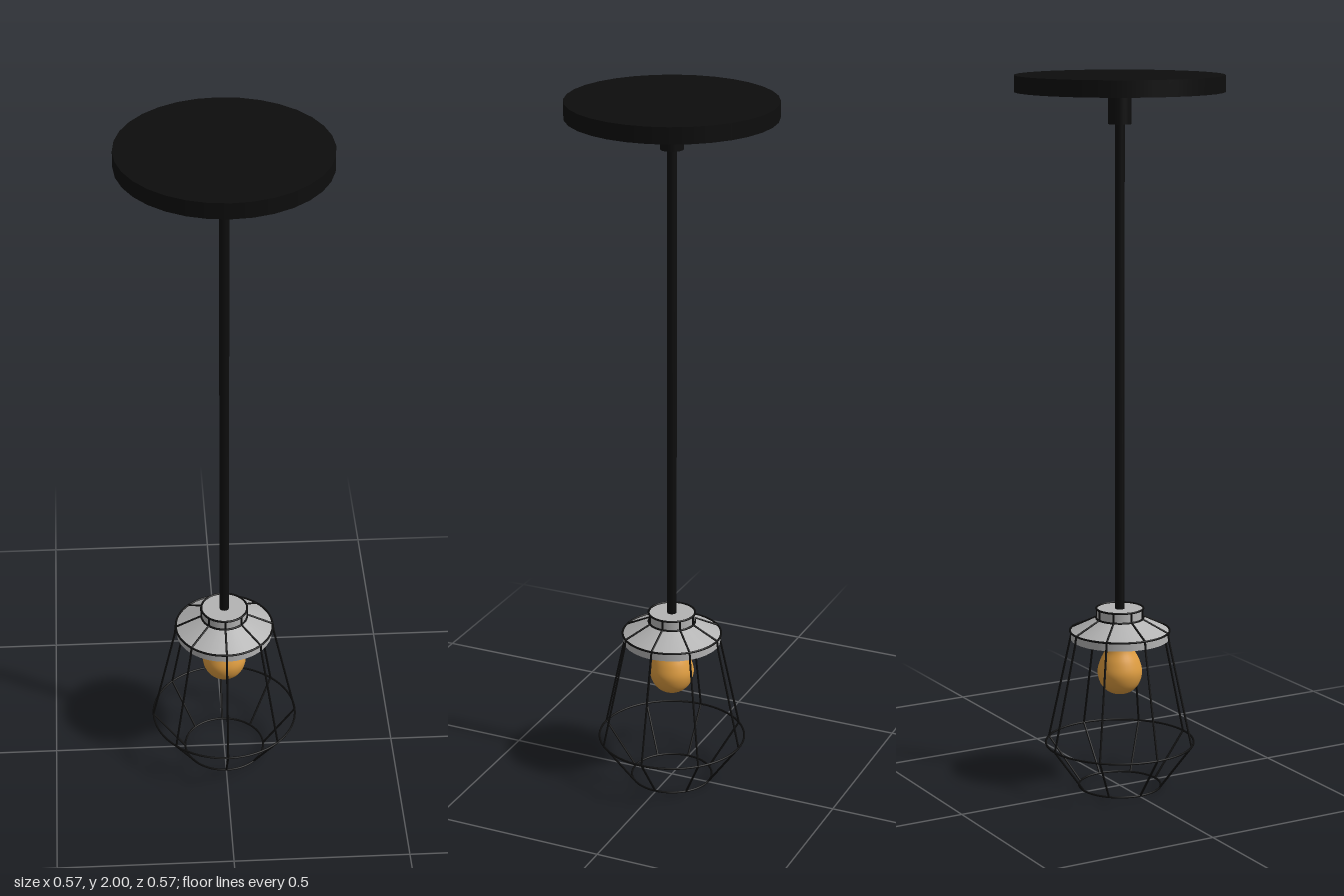
import * as THREE from 'three';

export function createModel() {
  const model = new THREE.Group();
  model.name = 'pendantLamp';

  const black = new THREE.MeshStandardMaterial({ color: 0x0d0d0d });
  black.name = 'black metal';
  const grey = new THREE.MeshStandardMaterial({ color: 0xb4b4b4 });
  grey.name = 'grey metal';
  const amber = new THREE.MeshStandardMaterial({ color: 0xdd9c40 });
  amber.name = 'amber glass';

  const add = (name, geometry, material, parent = model) => {
    const mesh = new THREE.Mesh(geometry, material);
    mesh.name = name;
    parent.add(mesh);
    return mesh;
  };
  // Upright cylinder between two heights
  const cylinder = (name, radius, y0, y1, material, sides = 32) => {
    add(name, new THREE.CylinderGeometry(radius, radius, y1 - y0, sides), material)
      .position.y = (y0 + y1) / 2;
  };

  // Ceiling mount and hanging rod
  cylinder('ceilingCanopy', 0.286, 1.955, 2, black);
  cylinder('canopyCollar', 0.032, 1.868, 1.956, black, 24);
  cylinder('rod', 0.0135, 0.515, 1.87, black, 16);

  // Stepped lamp holder: cap, sloping shoulder, rim band
  cylinder('holderCap', 0.064, 0.485, 0.518, grey);
  add('holderShoulder', new THREE.CylinderGeometry(0.066, 0.138, 0.036, 32, 1, true), grey)
    .position.y = 0.472;
  cylinder('holderRim', 0.138, 0.431, 0.454, grey);
  cylinder('socket', 0.064, 0.422, 0.432, grey);

  // Pear-shaped bulb
  const bulbCurve = new THREE.SplineCurve([
    [0, 0.271], [0.03, 0.278], [0.053, 0.3], [0.063, 0.335],
    [0.055, 0.369], [0.04, 0.4], [0.034, 0.43],
  ].map(([x, y]) => new THREE.Vector2(x, y)));
  const bulbPoints = bulbCurve.getPoints(28);
  bulbPoints[0].x = 0;
  add('bulb', new THREE.LatheGeometry(bulbPoints, 32), amber);

  // Wire cage: eight bent ribs joined by hoops
  const wire = 0.003;
  const cage = new THREE.Group();
  cage.name = 'wireCage';
  model.add(cage);

  const profile = [
    [0.066, 0.519], [0.066, 0.491], [0.14, 0.455],
    [0.143, 0.43], [0.209, 0.13], [0.116, wire],
  ].map(([x, y]) => new THREE.Vector3(x, y, 0));
  const up = new THREE.Vector3(0, 1, 0);
  for (let i = 0; i < 8; i++) {
    const rib = new THREE.Group();
    rib.name = 'rib';
    rib.rotation.y = (i * Math.PI) / 4;
    cage.add(rib);
    for (let j = 0; j < profile.length - 1; j++) {
      const a = profile[j], b = profile[j + 1];
      const dir = b.clone().sub(a);
      const part = add('ribWire', new THREE.CylinderGeometry(wire, wire, dir.length(), 8), black, rib);
      part.position.copy(a).add(b).multiplyScalar(0.5);
      part.quaternion.setFromUnitVectors(up, dir.normalize());
    }
  }

  const hoops = [
    ['topHoop', 0.066, 0.519], ['capHoop', 0.066, 0.491], ['shoulderHoop', 0.14, 0.455],
    ['middleHoop', 0.209, 0.13], ['bottomHoop', 0.116, wire],
  ];
  for (const [name, radius, y] of hoops) {
    const hoop = add(name, new THREE.TorusGeometry(radius, wire, 8, 64), black, cage);
    hoop.rotation.x = Math.PI / 2;
    hoop.position.y = y;
  }

  return model;
}
